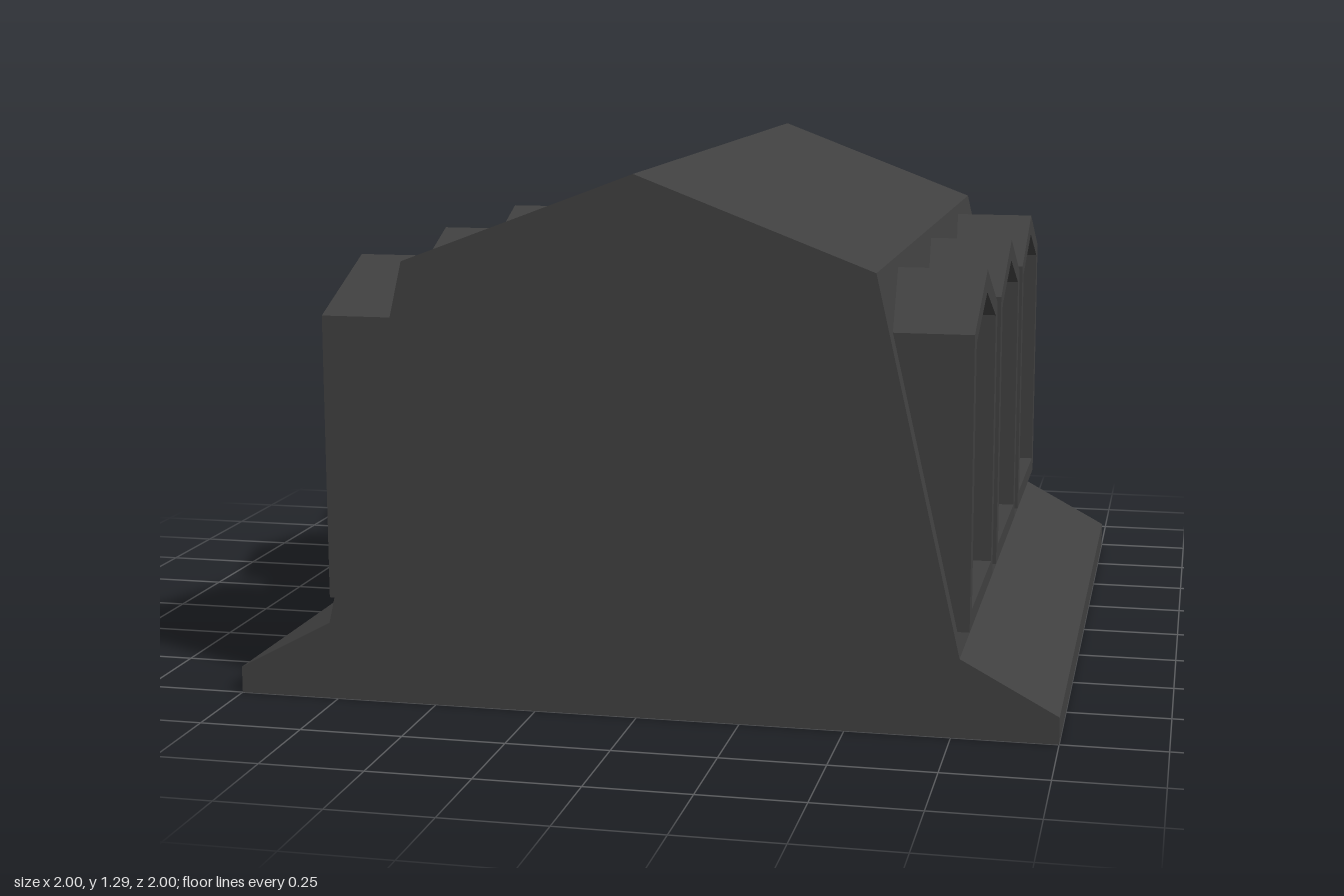
import * as THREE from 'three';

const charcoal = new THREE.MeshStandardMaterial({ color: 0x404040, side: THREE.DoubleSide });
charcoal.name = 'charcoal';

// Key points of the cross-section, from the foot up to the ridge (x, y)
const FOOT = [1, 0], CURB = [1, 0.065], SILL = [0.768, 0.19], EAVE = [0.565, 1.08], RIDGE = [0, 1.295];
const HALF_LENGTH = 1;
const BAYS = [-0.667, 0, 0.667];
const FACE_X = 0.785, PANE_X = 0.715;

// x of the sloping side wall at height y
const wallX = (y) => SILL[0] + (EAVE[0] - SILL[0]) * (y - SILL[1]) / (EAVE[1] - SILL[1]);

// Pointed window outline as [z, y], anticlockwise seen from outside
const outline = (zc, half, bottom, shoulder, top) => [
  [zc + half, bottom], [zc - half, bottom], [zc - half, shoulder], [zc, top], [zc + half, shoulder],
];
const outerOutline = (zc) => outline(zc, 0.283, 0.24, 0.938, 1.055);
const innerOutline = (zc) => outline(zc, 0.236, 0.284, 0.912, 1.0);

function mesh(name, geometry) {
  const m = new THREE.Mesh(geometry, charcoal);
  m.name = name;
  return m;
}

function flatGeometry(triangles) {
  const g = new THREE.BufferGeometry();
  g.setAttribute('position', new THREE.Float32BufferAttribute(triangles.flat(), 3));
  g.computeVertexNormals();
  return g;
}

// Flat panel running the full length between two cross-section points
function panel(name, lower, upper) {
  const a = [...lower, HALF_LENGTH], b = [...lower, -HALF_LENGTH];
  const c = [...upper, -HALF_LENGTH], d = [...upper, HALF_LENGTH];
  return mesh(name, flatGeometry([a, b, c, a, c, d]));
}

// Sloping wall with an opening behind each window bay
function sideWall() {
  const v = (z, y) => new THREE.Vector2(-z, y);
  const shape = new THREE.Shape([
    v(HALF_LENGTH, SILL[1]), v(-HALF_LENGTH, SILL[1]), v(-HALF_LENGTH, EAVE[1]), v(HALF_LENGTH, EAVE[1]),
  ]);
  for (const zc of BAYS) shape.holes.push(new THREE.Path(outerOutline(zc).map(([z, y]) => v(z, y))));
  const g = new THREE.ShapeGeometry(shape);
  const p = g.attributes.position;
  for (let i = 0; i < p.count; i++) p.setXYZ(i, wallX(p.getY(i)), p.getY(i), -p.getX(i));
  g.computeVertexNormals();
  return mesh('sideWall', g);
}

// Surface joining two matching loops
function ring(a, b) {
  return a.flatMap((_, i) => {
    const j = (i + 1) % a.length;
    return [a[i], a[j], b[j], a[i], b[j], b[i]];
  });
}

// Projecting window bay: hood, front frame, reveal and recessed pane
function windowBay(zc) {
  const outer = outerOutline(zc), inner = innerOutline(zc);
  const atWall = outer.map(([z, y]) => [wallX(y), y, z]);
  const faceOuter = outer.map(([z, y]) => [FACE_X, y, z]);
  const faceInner = inner.map(([z, y]) => [FACE_X, y, z]);
  const back = inner.map(([z, y]) => [PANE_X, y, z]);
  const bay = new THREE.Group();
  bay.name = 'windowBay';
  bay.add(
    mesh('bayHood', flatGeometry(ring(atWall, faceOuter))),
    mesh('bayFrame', flatGeometry(ring(faceOuter, faceInner))),
    mesh('bayReveal', flatGeometry(ring(faceInner, back))),
    mesh('bayPane', flatGeometry([1, 2, 3].flatMap((i) => [back[0], back[i], back[i + 1]]))),
  );
  return bay;
}

function side(name) {
  const g = new THREE.Group();
  g.name = name;
  g.add(panel('curb', FOOT, CURB), panel('apron', CURB, SILL), sideWall(), panel('roofSlope', EAVE, RIDGE));
  for (const zc of BAYS) g.add(windowBay(zc));
  return g;
}

export function createModel() {
  const model = new THREE.Group();
  model.name = 'gabledHall';

  const left = side('leftSide');
  const right = side('rightSide');
  right.scale.x = -1;
  model.add(left, right);

  // Gable ends; the underside stays open
  const half = [FOOT, CURB, SILL, EAVE];
  const profile = [...half, RIDGE, ...half.map(([x, y]) => [-x, y]).reverse()];
  const gable = new THREE.ShapeGeometry(new THREE.Shape(profile.map(([x, y]) => new THREE.Vector2(x, y))));
  const front = mesh('frontGable', gable);
  front.position.z = HALF_LENGTH;
  const rear = mesh('rearGable', gable);
  rear.position.z = -HALF_LENGTH;
  rear.rotation.y = Math.PI;
  model.add(front, rear);
  return model;
}
